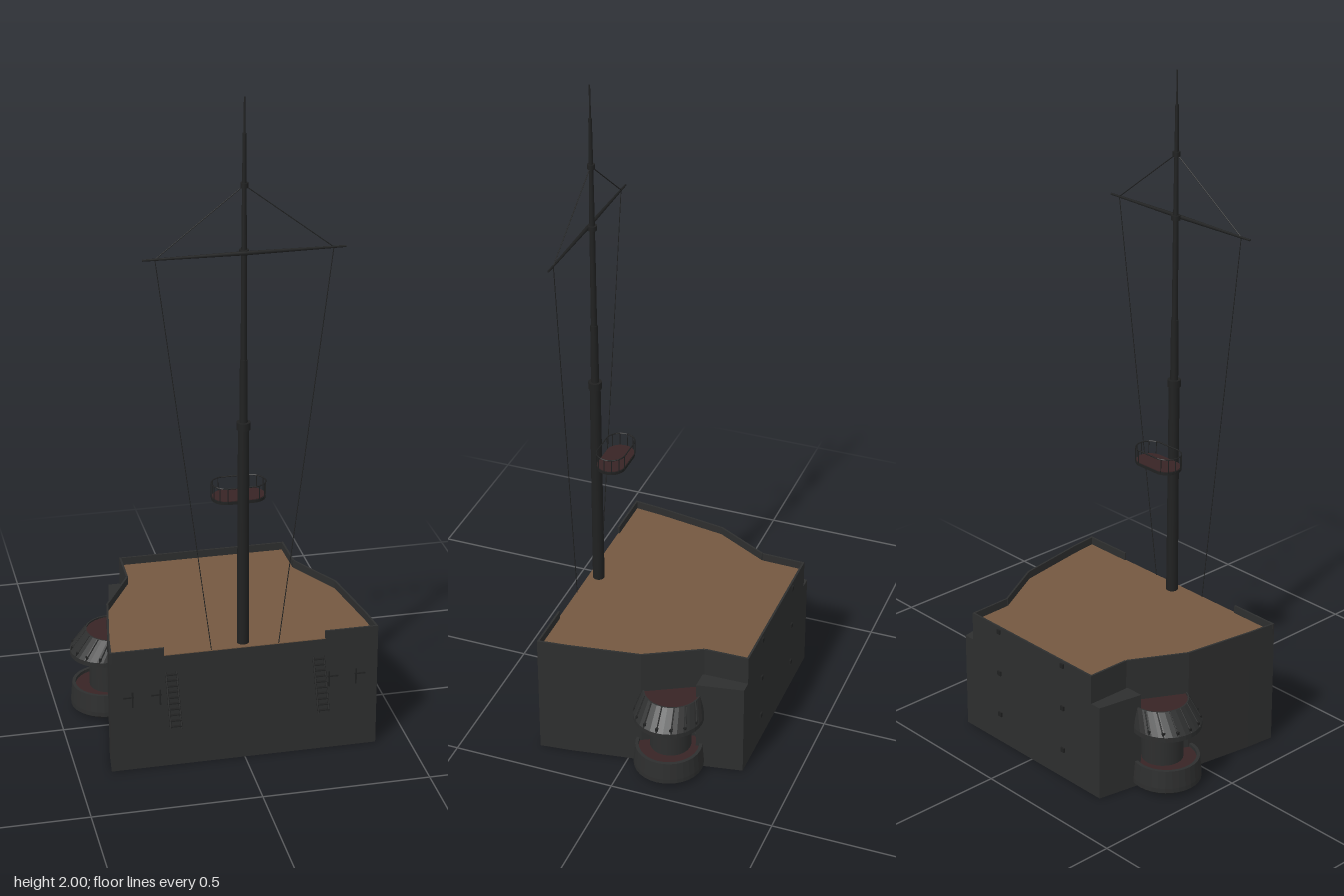
import * as THREE from 'three';

const mat = (name, color) => Object.assign(new THREE.MeshStandardMaterial({ color }), { name });

export function createModel() {
  const root = new THREE.Group();
  root.name = 'shipSuperstructure';
  const steel = mat('dark steel', 0x2d2e2e);
  const black = mat('black fittings', 0x202121);
  const wood = mat('wood deck', 0x745840);
  const red = mat('red deck', 0x382425);

  const add = (name, geo, material, x = 0, y = 0, z = 0) => {
    const m = new THREE.Mesh(geo, material);
    m.name = name;
    m.position.set(x, y, z);
    root.add(m);
    return m;
  };
  const box = (name, w, h, d, material, x, y, z) =>
    add(name, new THREE.BoxGeometry(w, h, d), material, x, y, z);
  // horizontal slab from a plan outline of [x, z] points
  const slab = (name, pts, y, h, material) => {
    const shape = new THREE.Shape(pts.map(([x, z]) => new THREE.Vector2(x, -z)));
    const g = new THREE.ExtrudeGeometry(shape, { depth: h, bevelEnabled: false });
    g.rotateX(-Math.PI / 2);
    return add(name, g, material, 0, y, 0);
  };
  // round bar between two points
  const rod = (name, a, b, r, material = black, r2 = r, sides = 6) => {
    const p = new THREE.Vector3(...a), q = new THREE.Vector3(...b);
    const d = q.clone().sub(p);
    const m = add(name, new THREE.CylinderGeometry(r2, r, d.length(), sides), material);
    m.position.copy(p).add(q).multiplyScalar(0.5);
    m.quaternion.setFromUnitVectors(new THREE.Vector3(0, 1, 0), d.normalize());
    return m;
  };

  // hull block and deck
  const half = [[0.4, 0.27], [0.39, 0.18], [0.355, -0.04], [0.265, -0.205], [0.262, -0.34]];
  const outline = [...half, ...half.map(([x, z]) => [-x, z]).reverse()];
  slab('hull', outline, 0, 0.364, steel);
  slab('deck', outline.map(([x, z]) => [x * 0.995, z * 0.995]), 0.361, 0.005, wood);

  // bulwark, open across the middle of the front
  const rim = [[0.24, 0.27], ...outline, [-0.24, 0.27]];
  for (let i = 0; i < rim.length - 1; i++) {
    const [ax, az] = rim[i], [bx, bz] = rim[i + 1];
    const dx = bx - ax, dz = bz - az, len = Math.hypot(dx, dz), t = 0.006;
    const nx = -dz / len, nz = dx / len;
    const s = Math.sign(nx * (ax + bx) + nz * (az + bz)) || 1;
    const w = box('bulwark', len, 0.035, t, steel,
      (ax + bx) / 2 - s * nx * t / 2, 0.3725, (az + bz) / 2 - s * nz * t / 2);
    w.rotation.y = Math.atan2(-dz, dx);
  }

  for (const s of [1, -1]) {
    // lower ledge behind the gun position
    const ledge = [[0.2, -0.34], [0.297, -0.34], [0.322, -0.2], [0.2, -0.2]];
    slab('rearLedge', ledge.map(([x, z]) => [s * x, z]), 0, 0.3, steel);

    // two stacked round gun platforms
    const cz = -0.125;
    const lathe = (name, pts, x) => add(name,
      new THREE.LatheGeometry(pts.map((p) => new THREE.Vector2(...p)), 32).toNonIndexed(), steel, s * x, 0, cz);
    const drum = lathe('lowerPlatform', [[0, 0.008], [0.095, 0.008], [0.105, 0.016], [0.105, 0.03],
      [0.1, 0.085], [0.09, 0.085], [0.09, 0.07], [0, 0.07]], 0.35);
    drum.geometry.computeVertexNormals();
    add('lowerPlatformFloor', new THREE.CylinderGeometry(0.09, 0.09, 0.006, 32), red, s * 0.35, 0.072, cz);
    add('platformNeck', new THREE.CylinderGeometry(0.062, 0.062, 0.12, 24), steel, s * 0.335, 0.13, cz);
    const top = lathe('upperPlatform', [[0, 0.17], [0.07, 0.17], [0.105, 0.185], [0.105, 0.2],
      [0.087, 0.262], [0.083, 0.262], [0.083, 0.25], [0, 0.25]], 0.35);
    // lean the shield in toward the hull
    const p = top.geometry.attributes.position;
    for (let i = 0; i < p.count; i++) {
      p.setX(i, p.getX(i) - s * 0.03 * Math.max(0, (p.getY(i) - 0.2) / 0.062));
    }
    top.geometry.computeVertexNormals();
    add('upperPlatformFloor', new THREE.CylinderGeometry(0.083, 0.083, 0.006, 32), red, s * 0.32, 0.254, cz);
    // ribs on the sloping shield
    for (let i = -3; i <= 3; i++) {
      const a = i * 0.42, c = Math.cos(a), n = Math.sin(a);
      rod('shieldRib', [s * (0.35 + 0.105 * c), 0.2, cz + 0.105 * n],
        [s * (0.32 + 0.087 * c), 0.262, cz + 0.087 * n], 0.002);
      box('shieldKnob', 0.008, 0.016, 0.008, black, s * (0.348 + 0.1 * c), 0.205, cz + 0.1 * n);
    }

    // inclined ladder on the front
    for (const x of [0.204, 0.236]) rod('ladderRail', [s * x, 0.31, 0.27], [s * x, 0.16, 0.34], 0.003);
    for (let i = 0; i < 10; i++) {
      const t = (i + 0.5) / 10;
      box('ladderRung', 0.032, 0.003, 0.008, black, s * 0.22, 0.31 - 0.15 * t, 0.27 + 0.07 * t);
    }

    // small fittings on the front wall
    for (const x of [0.265, 0.347]) {
      box('wallBracket', 0.032, 0.004, 0.005, black, s * x, 0.24, 0.271);
      box('wallBar', 0.004, 0.05, 0.005, black, s * (x - 0.012), 0.232, 0.271);
    }
    // small fittings on the back wall
    for (const y of [0.375, 0.235, 0.095]) box('rearFitting', 0.014, 0.014, 0.008, black, s * 0.14, y, -0.341);

    // yard arm and rigging
    rod('yardArm', [0, 1.565, 0.249], [s * 0.285, 1.565, 0.249], 0.006, black, 0.003);
    rod('yardStay', [s * 0.25, 1.565, 0.249], [0, 1.755, 0.238], 0.0015);
    rod('halyard', [s * 0.25, 1.565, 0.249], [s * 0.1, 0.365, 0.267], 0.0013);
  }

  // stepped mast: [bottom y, top y, bottom radius, top radius]
  const mz = 0.237;
  for (const [y0, y1, r0, r1] of [[0.36, 1.05, 0.018, 0.016], [1.04, 1.062, 0.02, 0.02],
    [1.06, 1.25, 0.012, 0.011], [1.25, 1.56, 0.009, 0.008], [1.56, 1.9, 0.008, 0.005],
    [1.9, 2, 0.003, 0.002], [1.748, 1.762, 0.011, 0.011], [1.558, 1.572, 0.014, 0.014]]) {
    rod('mast', [0, y0, mz], [0, y1, mz], r0, black, r1, 16);
  }

  // lookout platform with railing
  const ring = [];
  for (let i = 0; i < 24; i++) {
    const a = ((i + 0.5) / 24) * Math.PI * 2;
    ring.push([Math.sign(Math.cos(a)) * 0.035 + 0.044 * Math.cos(a), 0.175 + 0.044 * Math.sin(a)]);
  }
  slab('lookoutBase', ring, 0.8, 0.009, black);
  slab('lookoutFloor', ring.map(([x, z]) => [x * 0.97, 0.175 + (z - 0.175) * 0.96]), 0.806, 0.005, red);
  ring.forEach(([x, z], i) => {
    const [nx, nz] = ring[(i + 1) % 24];
    rod('lookoutRail', [x, 0.85, z], [nx, 0.85, nz], 0.002);
    if (i % 2 === 0) rod('lookoutPost', [x, 0.805, z], [x, 0.85, z], 0.0015);
  });
  box('lookoutBracket', 0.014, 0.014, 0.05, black, 0, 0.797, 0.215);

  return root;
}
